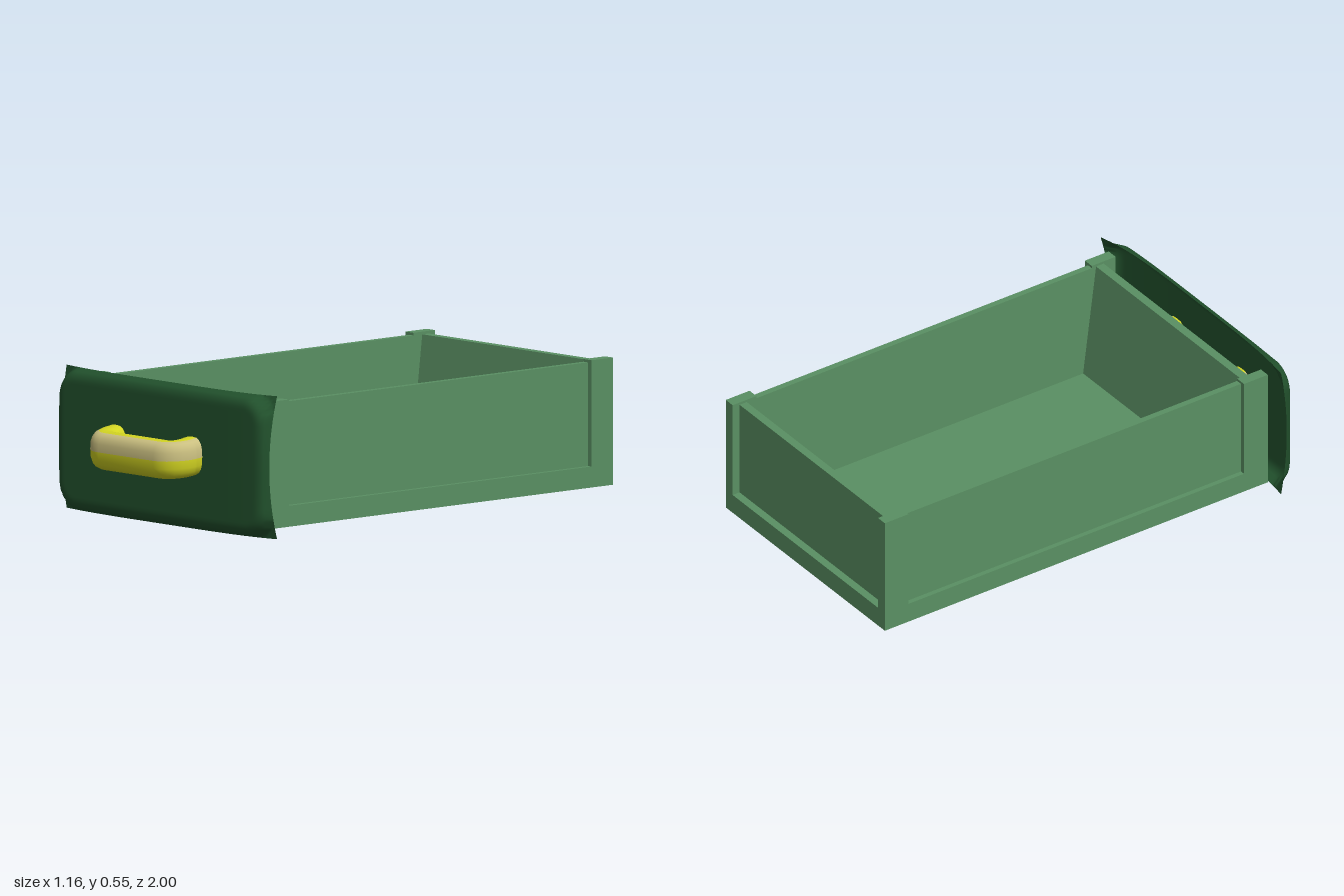
import * as THREE from 'three';

const mat = (name, color) => {
  const m = new THREE.MeshStandardMaterial({ color });
  m.name = name;
  return m;
};

export function createModel() {
  const green = mat('leafGreen', 0x5a9063);
  const dark = mat('darkGreen', 0x22522d);
  dark.side = THREE.DoubleSide;
  const yellow = mat('yellow', 0xd2d422);
  const tan = mat('tan', 0xcabf80);

  const model = new THREE.Group();
  model.name = 'drawer';
  const tray = new THREE.Group();
  tray.name = 'tray';
  model.add(tray);

  const add = (parent, name, geometry, material) => {
    const mesh = new THREE.Mesh(geometry, material);
    mesh.name = name;
    parent.add(mesh);
    return mesh;
  };
  // Box given by its limits on each axis
  const block = (name, x0, x1, y0, y1, z0, z1) =>
    add(tray, name, new THREE.BoxGeometry(x1 - x0, y1 - y0, z1 - z0), green)
      .position.set((x0 + x1) / 2, (y0 + y1) / 2, (z0 + z1) / 2);

  // Thin floor, set slightly above the bottom frame
  block('floor', -0.48, 0.48, 0.037, 0.045, -0.93, 0.68);

  // Recessed side panels, lower rails and raised corner posts
  for (const s of [-1, 1]) {
    const span = (a, b) => (s > 0 ? [a, b] : [-b, -a]);
    block('sidePanel', ...span(0.475, 0.5), 0.03, 0.505, -0.965, 0.72);
    block('sideRail', ...span(0.475, 0.52), 0.03, 0.11, -1, 0.77);
    block('backPost', ...span(0.475, 0.52), 0.03, 0.515, -1, -0.89);
    block('frontPost', ...span(0.475, 0.52), 0.03, 0.515, 0.66, 0.77);
  }
  block('backRail', -0.475, 0.475, 0.03, 0.11, -1, -0.95);
  block('frontRail', -0.475, 0.475, 0.03, 0.11, 0.7, 0.77);

  // End panels whose inner faces lean outward to the rim
  const endPanel = (name, outer, innerTop, innerFloor) => {
    const shape = new THREE.Shape([
      new THREE.Vector2(-outer, 0.03),
      new THREE.Vector2(-innerFloor, 0.03),
      new THREE.Vector2(-innerFloor, 0.045),
      new THREE.Vector2(-innerTop, 0.505),
      new THREE.Vector2(-outer, 0.505),
    ]);
    const g = new THREE.ExtrudeGeometry(shape, { depth: 0.95, bevelEnabled: false });
    g.translate(0, 0, -0.475).rotateY(Math.PI / 2);
    add(tray, name, g, green);
  };
  endPanel('backPanel', -0.968, -0.935, -0.88);
  endPanel('frontPanel', 0.715, 0.68, 0.62);

  // Front plate: a thin rectangular sheet pressed into a rounded pillow
  const W = 0.58, H = 0.2725, R = 0.11;
  const plate = new THREE.PlaneGeometry(2 * W, 2 * H, 96, 48);
  const p = plate.attributes.position;
  for (let i = 0; i < p.count; i++) {
    const x = p.getX(i), y = p.getY(i);
    const qx = Math.abs(x) - W + R, qy = Math.abs(y) - H + R;
    const inside = R - Math.hypot(Math.max(qx, 0), Math.max(qy, 0)) - Math.min(Math.max(qx, qy), 0);
    const t = THREE.MathUtils.clamp(inside / 0.05, 0, 1);
    const u = Math.abs(x) / W, v = y / H;
    const border = 0.815 - (0.033 + 0.007 * x / W) * u ** 4 * v * v;
    const face = 0.853 - (x > 0 ? 0.008 * u ** 4 : 0);
    p.setZ(i, border + (face - border) * Math.sqrt(1 - (1 - t) ** 2));
  }
  plate.translate(0, H, 0);
  plate.computeVertexNormals();
  add(model, 'frontPlate', plate, dark);

  // Handle: rounded section swept along a U-shaped path
  const path = [[-0.235, 0.835], [-0.235, 0.875]];
  for (let i = 0; i <= 6; i++) {
    const a = (i / 6) * Math.PI / 2;
    path.push([-0.175 - 0.06 * Math.cos(a), 0.88 + 0.062 * Math.sin(a)]);
  }
  const cx = -0.0225;
  const full = [...path, ...path.map(([x, z]) => [2 * cx - x, z]).reverse()];
  const N = 20, verts = [], yellowIdx = [], tanIdx = [];
  const pw = (c) => Math.sign(c) * Math.abs(c) ** 0.75;
  full.forEach(([x, z], i) => {
    const a = full[Math.max(i - 1, 0)], b = full[Math.min(i + 1, full.length - 1)];
    const len = Math.hypot(b[0] - a[0], b[1] - a[1]);
    const nx = -(b[1] - a[1]) / len, nz = (b[0] - a[0]) / len;
    const cy = 0.273 + (0.942 - z) * 0.14;
    for (let j = 0; j < N; j++) {
      const ang = (j / N) * Math.PI * 2;
      const o = 0.057 * pw(Math.cos(ang));
      verts.push(x + nx * o, cy + 0.073 * pw(Math.sin(ang)), z + nz * o);
    }
  });
  for (let i = 0; i < full.length - 1; i++) {
    for (let j = 0; j < N; j++) {
      const a = i * N + j, b = i * N + (j + 1) % N;
      // The outer upper faces form the tan band
      (j < 4 ? tanIdx : yellowIdx).push(a, a + N, b, b, a + N, b + N);
    }
  }
  const handle = new THREE.BufferGeometry();
  handle.setAttribute('position', new THREE.Float32BufferAttribute(verts, 3));
  handle.setIndex([...yellowIdx, ...tanIdx]);
  handle.addGroup(0, yellowIdx.length, 0);
  handle.addGroup(yellowIdx.length, tanIdx.length, 1);
  handle.computeVertexNormals();
  add(model, 'handle', handle, [yellow, tan]);

  return model;
}
